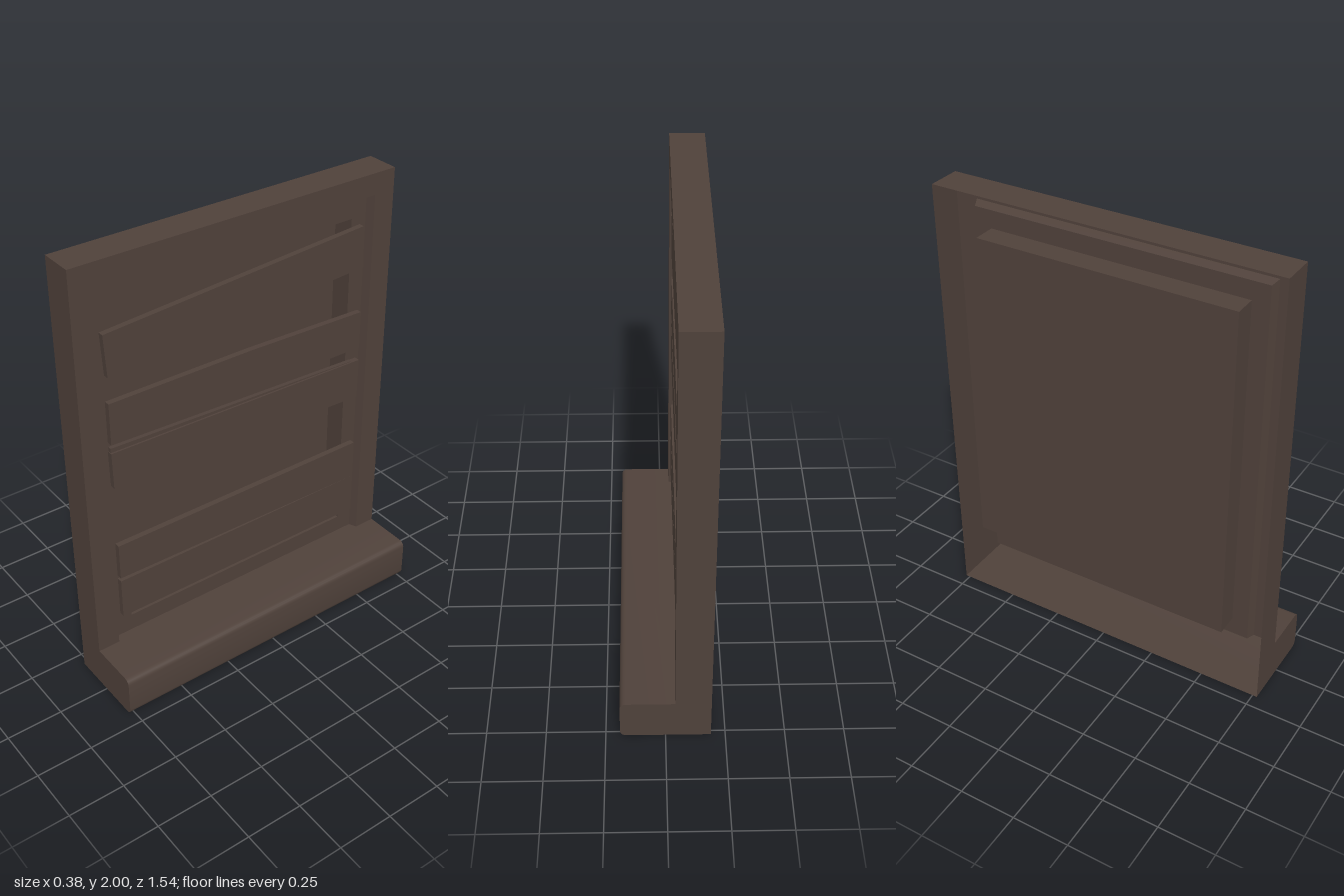
import * as THREE from 'three';
import { toCreasedNormals } from 'three/addons/utils/BufferGeometryUtils.js';

const W = 0.77, H = 2;                 // half width and height
const BACK = -0.19, FACE = -0.04;      // frame depth
const PANEL = -0.075, RECESS = -0.176; // recessed planes
const SILL = 0.19, FRONT = 0.19;       // sill height and reach

export function createModel() {
  const model = new THREE.Group();
  const darkWood = new THREE.MeshStandardMaterial({ color: 0x4f413a, side: THREE.DoubleSide });

  function add(name, geometry) {
    const mesh = new THREE.Mesh(geometry, darkWood);
    mesh.name = name;
    model.add(mesh);
    return mesh;
  }

  // Ribbon of quads between two matching paths of [x, y, z] points
  function strip(a, b) {
    const p = [];
    for (let i = 0; i < a.length - 1; i++) {
      p.push(...a[i], ...b[i], ...b[i + 1], ...a[i], ...b[i + 1], ...a[i + 1]);
    }
    const g = new THREE.BufferGeometry();
    g.setAttribute('position', new THREE.Float32BufferAttribute(p, 3));
    return toCreasedNormals(g, 0.6);
  }

  const polygon = (pts) => new THREE.Shape(pts.map(([x, y]) => new THREE.Vector2(x, y)));
  const rect = (w, y0, y1) => [[-w, y0], [w, y0], [w, y1], [-w, y1]];

  // Flat sheet facing +x
  const sheet = (shape, x) => new THREE.ShapeGeometry(shape).rotateY(Math.PI / 2).translate(x, 0, 0);

  // Path around an opening, in the plane at x
  const arch = (x, w, y0, y1) => [[x, y0, w], [x, y1, w], [x, y1, -w], [x, y0, -w]];

  // Rounded sill outline, running from the frame face round to the underside
  const r = 0.025, sillLine = [[FACE, SILL]];
  for (const cy of [SILL - r, r]) {
    for (let i = 0; i <= 4; i++) {
      const t = (cy > r ? Math.PI / 2 : 0) - i * Math.PI / 8;
      sillLine.push([FRONT - r + r * Math.cos(t), cy + r * Math.sin(t)]);
    }
  }
  sillLine.push([BACK, 0]);

  const along = (line, z) => line.map(([x, y]) => [x, y, z]);

  // Sill and top of the open-backed frame
  add('sill', strip(along(sillLine, -W), along(sillLine, W)));
  const topLine = [[BACK, H], [FACE, H]];
  add('frameTop', strip(along(topLine, -W), along(topLine, W)));

  // L-shaped ends
  const endShape = polygon([[BACK, H], [FACE, H], ...sillLine]);
  for (const side of [-1, 1]) {
    const g = new THREE.ShapeGeometry(endShape);
    if (side < 0) g.rotateY(Math.PI).scale(-1, 1, 1);
    // restore outward winding after mirroring
    if (side < 0) {
      const ix = g.index.array;
      for (let i = 0; i < ix.length; i += 3) [ix[i], ix[i + 1]] = [ix[i + 1], ix[i]];
      g.computeVertexNormals();
    }
    add(side > 0 ? 'leftEnd' : 'rightEnd', g.translate(0, 0, side * W));
  }

  // Front casing around the opening
  add('frameFace', sheet(polygon([
    [-W, SILL], [-0.67, SILL], [-0.67, 1.905], [0.67, 1.905],
    [0.67, SILL], [W, SILL], [W, H], [-W, H],
  ]), FACE));
  add('frameLip', strip(arch(FACE, 0.67, SILL, 1.905), arch(PANEL, 0.655, SILL, 1.89)));
  add('lipFloor', strip([[PANEL, SILL, -0.655], [PANEL, SILL, 0.655]],
    [[FACE, SILL, -0.67], [FACE, SILL, 0.67]]));

  // Inner surround and the recessed box behind it
  const surround = polygon(rect(0.655, SILL, 1.89));
  surround.holes.push(new THREE.Path(rect(0.58, 0.27, 1.81).map(([x, y]) => new THREE.Vector2(x, y))));
  add('innerSurround', sheet(surround, PANEL));
  const loop = (x) => { const a = arch(x, 0.58, 0.27, 1.81); return [...a, a[0]]; };
  add('recessWalls', strip(loop(PANEL), loop(RECESS)));
  add('recessBack', sheet(polygon(rect(0.58, 0.27, 1.81)), RECESS));

  // Crooked boards: corners as seen from the face, and how far they stand out
  const boards = [
    [[[-0.63, 1.5], [0.635, 1.585], [0.625, 1.775], [-0.64, 1.69]], 0.026],
    [[[-0.635, 1.195], [0.635, 1.195], [0.635, 1.37], [0.05, 1.385], [-0.635, 1.385]], 0.026],
    [[[-0.635, 1.1], [0.6, 1.1], [0.6, 1.133], [-0.635, 1.175]], 0.018],
    [[[-0.635, 0.985], [0.635, 0.94], [0.638, 1.13], [-0.638, 1.155]], 0.026],
    [[[-0.635, 0.52], [0.635, 0.503], [0.635, 0.69], [-0.635, 0.69]], 0.026],
    [[[-0.635, 0.31], [0.635, 0.31], [0.635, 0.503], [-0.635, 0.503]], 0.026],
  ];
  boards.forEach(([pts, depth], i) => {
    const g = new THREE.ExtrudeGeometry(polygon(pts), { depth, bevelEnabled: false });
    add('board' + (i + 1), g.rotateY(Math.PI / 2).translate(PANEL, 0, 0));
  });

  return model;
}
